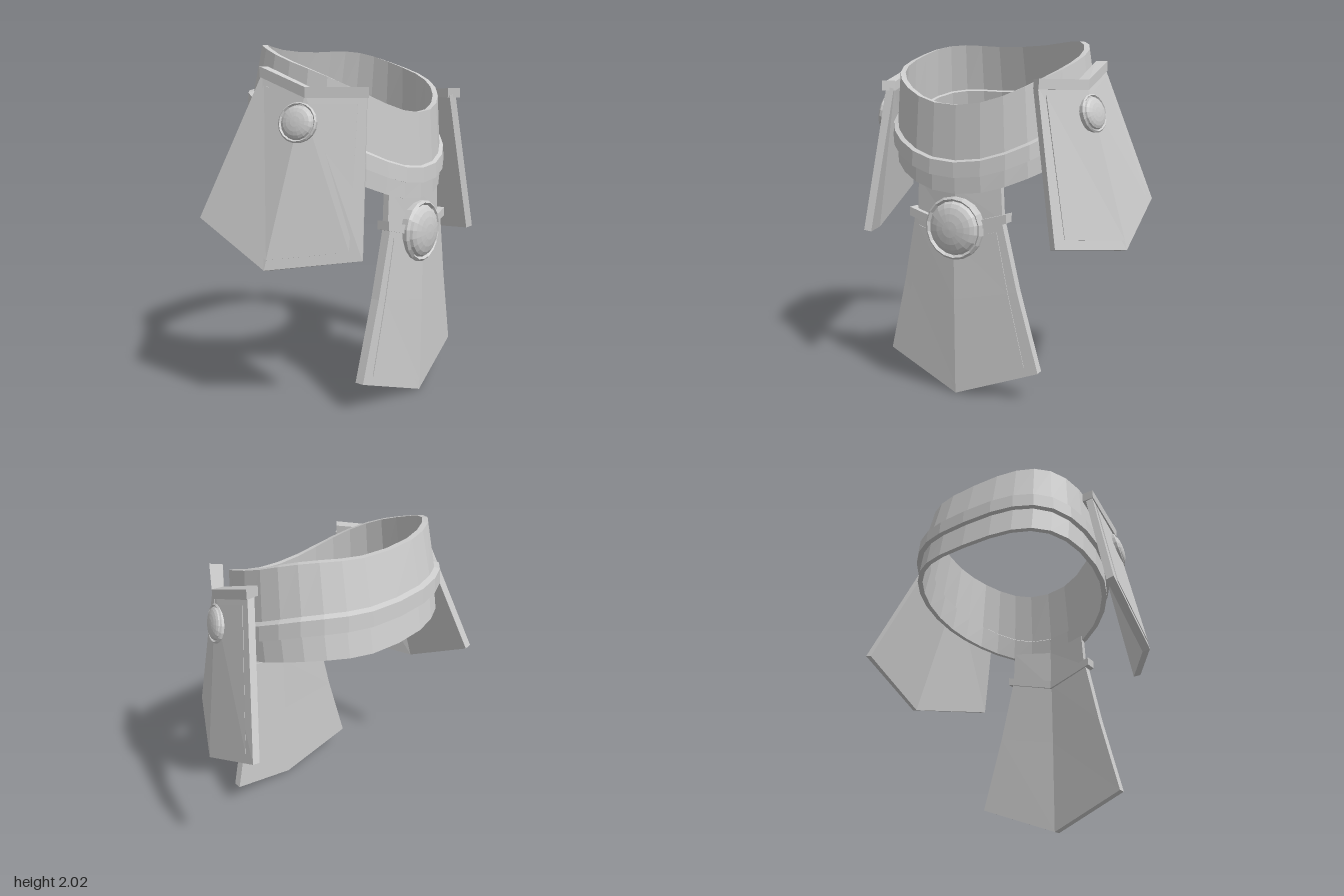
import * as THREE from 'three';

const material = new THREE.MeshStandardMaterial({ color: 0xcccccc, flatShading: true });

function addMesh(parent, name, geometry) {
  const mesh = new THREE.Mesh(geometry, material);
  mesh.name = name;
  parent.add(mesh);
  return mesh;
}

// Skin a row of closed cross-section loops; open rows get end caps
function loft(sections, closed) {
  const pos = [];
  const n = sections[0].length, m = sections.length;
  const quad = (a, b, c, d) => [a, b, c, a, c, d].forEach(p => pos.push(...p));
  for (let i = 0; i < (closed ? m : m - 1); i++) {
    const s = sections[i], t = sections[(i + 1) % m];
    for (let k = 0; k < n; k++) quad(s[k], t[k], t[(k + 1) % n], s[(k + 1) % n]);
  }
  if (!closed) {
    const s = sections[0], e = sections[m - 1];
    for (let k = 0; k < n / 2 - 1; k++) {
      quad(s[k], s[k + 1], s[n - 2 - k], s[n - 1 - k]);
      quad(e[n - 1 - k], e[n - 2 - k], e[k + 1], e[k]);
    }
  }
  const g = new THREE.BufferGeometry();
  g.setAttribute('position', new THREE.Float32BufferAttribute(pos, 3));
  g.computeVertexNormals();
  return g;
}

const add = (p, q, s = 1) => p.map((v, i) => v + q[i] * s);
const lerp = (p, q, t) => p.map((v, i) => v + (q[i] - v) * t);

// Bent plate: rows of outer points, and a thickness vector for each column
function slab(rows, offsets, mirror = false) {
  return loft(rows.map(row => {
    const loop = [...row, ...row.map((p, k) => add(p, offsets[k])).reverse()];
    return mirror ? loop.map(([x, y, z]) => [-x, y, z]).reverse() : loop;
  }), false);
}

// Slightly raised field inside a plate's border
function inlay(rows, offsets, mirror) {
  const last = rows.length - 1;
  const cut = rows.map((row, i) => {
    const r = i === 0 ? row.map((p, k) => lerp(p, rows[last][k], 0.06))
      : i === last ? row.map((p, k) => lerp(p, rows[0][k], 0.06)) : row;
    return [lerp(r[0], r[1], 0.14), r[1], lerp(r[2], r[1], 0.14)]
      .map((p, k) => add(p, offsets[k], -0.08));
  });
  return slab(cut, offsets.map(o => o.map(v => v * 0.4)), mirror);
}

// Domed stud with a rim
function medallion(radius) {
  const profile = [[0, -0.03], [0.175, -0.03], [0.178, 0.01], [0.165, 0.022], [0.152, 0.008]];
  for (let i = 0; i <= 5; i++) {
    const a = (i / 5) * Math.PI / 2;
    profile.push([0.148 * Math.cos(a), 0.012 + 0.048 * Math.sin(a)]);
  }
  const s = radius / 0.178;
  return new THREE.LatheGeometry(profile.map(([x, y]) => new THREE.Vector2(Math.max(0, x * s), y * s)), 18);
}

function placeMedallion(parent, name, radius, position, normal) {
  const mesh = addMesh(parent, name, medallion(radius));
  mesh.position.set(...position);
  mesh.quaternion.setFromUnitVectors(new THREE.Vector3(0, 1, 0), new THREE.Vector3(...normal).normalize());
}

// Tilted belt: profile entries are mid height, tilt, front z, back z, half width
function belt() {
  const profile = [
    [1.91, 0.18, 0.46, -0.45, 0.57],
    [1.64, 0.21, 0.475, -0.51, 0.6],
    [1.63, 0.21, 0.495, -0.54, 0.63],
    [1.545, 0.21, 0.5, -0.547, 0.635],
    [1.545, 0.21, 0.48, -0.515, 0.605],
    [1.42, 0.175, 0.48, -0.545, 0.61],
    [1.42, 0.175, 0.45, -0.515, 0.58],
    [1.59, 0.21, 0.44, -0.47, 0.56],
    [1.6, 0.21, 0.455, -0.49, 0.575],
    [1.91, 0.18, 0.43, -0.42, 0.54],
  ];
  const sections = [];
  for (let i = 0; i < 28; i++) {
    const a = (i / 28) * Math.PI * 2, c = Math.cos(a), t = Math.sin(a);
    const x = Math.sign(c) * Math.abs(c) ** (t < 0 ? 0.8 : 0.92);
    const d = Math.sign(t) * Math.abs(t) ** 0.92;
    sections.push(profile.map(([y, tilt, zf, zb, w]) =>
      [x * w, y - tilt * t - 0.09 * t ** 4, (zf + zb) / 2 + d * (zf - zb) / 2]));
  }
  return loft(sections, true);
}

export function createModel() {
  const model = new THREE.Group();
  model.name = 'armouredBelt';
  addMesh(model, 'belt', belt());

  // Front flap hanging from a short neck
  const front = new THREE.Group();
  front.name = 'frontFlap';
  model.add(front);
  const across = (x, yEdge, yMid, zEdge, zMid) => [[-x, yEdge, zEdge], [0, yMid, zMid], [x, yEdge, zEdge]];
  const back = d => [0, 1, 2].map(() => [0, 0, -d]);
  addMesh(front, 'neck', slab([
    across(0.26, 1.23, 1.19, 0.435, 0.478),
    across(0.27, 1.02, 0.94, 0.435, 0.475),
  ], back(0.035)));
  const flap = [
    across(0.275, 1.02, 0.95, 0.455, 0.495),
    across(0.36, 0.63, 0.56, 0.44, 0.495),
    across(0.48, 0.175, 0, 0.42, 0.49),
  ];
  addMesh(front, 'frontPlate', slab(flap, back(0.05)));
  addMesh(front, 'frontPlateField', inlay(flap, back(0.05)));
  addMesh(front, 'frontBar', slab([
    across(0.305, 1.06, 0.98, 0.465, 0.505),
    across(0.305, 1.01, 0.93, 0.465, 0.505),
  ], back(0.075)));
  placeMedallion(front, 'frontMedallion', 0.178, [0, 0.965, 0.488], [0, 0, 1]);

  // Hip plates, folded down the middle and flaring outward
  const hip = [
    [[0.47, 1.74, 0.435], [0.645, 1.74, 0.17], [0.65, 1.85, -0.12]],
    [[0.605, 0.905, 0.505], [0.86, 0.84, 0.06], [0.88, 1.075, -0.39]],
  ];
  const hipIn = [[-0.035, -0.01, -0.022], [-0.04, -0.01, -0.01], [-0.042, -0.01, 0]];
  const bar = [1.775, 1.72].map(y =>
    [[0.485, y, 0.457], [0.66, y, 0.18], [0.662, y + 0.11, -0.13]]);
  const barIn = [[-0.052, 0, -0.055], [-0.065, 0, -0.015], [-0.07, 0, 0]];
  for (const mirror of [false, true]) {
    const side = mirror ? 'right' : 'left', s = mirror ? -1 : 1;
    const group = new THREE.Group();
    group.name = side + 'HipGuard';
    model.add(group);
    addMesh(group, side + 'HipPlate', slab(hip, hipIn, mirror));
    addMesh(group, side + 'HipPlateField', inlay(hip, hipIn, mirror));
    addMesh(group, side + 'HipBar', slab(bar, barIn, mirror));
    placeMedallion(group, side + 'HipMedallion', 0.107, [s * 0.677, 1.595, 0.145], [s, 0.24, 0.3]);
  }
  return model;
}
